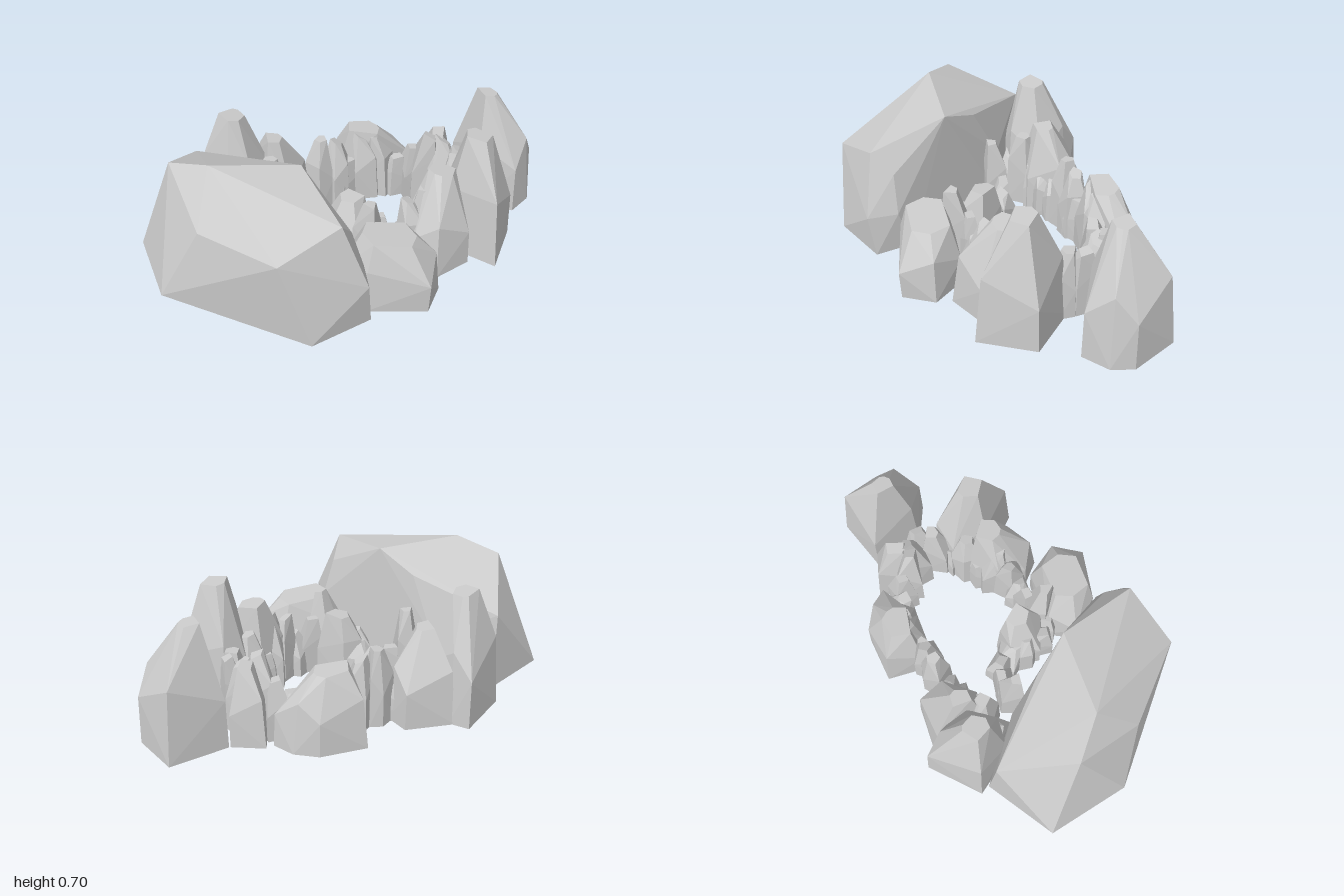
import * as THREE from 'three';
import { ConvexGeometry } from 'three/addons/geometries/ConvexGeometry.js';

const material = new THREE.MeshStandardMaterial({ color: 0xcccccc, flatShading: true });

// small seeded generator for the irregular shards
let seed = 17;
const rand = () => {
  seed = (seed * 16807) % 2147483647;
  return seed / 2147483647;
};

function hull(name, points) {
  const mesh = new THREE.Mesh(new ConvexGeometry(points.map(p => new THREE.Vector3(...p))), material);
  mesh.name = name;
  return mesh;
}

// faceted rock: flat base outline, uneven belt, small crown that can slope down towards +x / +z
function rock(name, base, [cx, cz, crownR], beltY, topY, belt = 0.97, slope = 0.15) {
  const points = [];
  base.forEach(([x, z], i) => {
    const dx = x - cx, dz = z - cz, len = Math.hypot(dx, dz);
    const wobble = i % 2 ? 1 : 0.88;
    const ux = dx / len * crownR, uz = dz / len * crownR;
    points.push([x, 0, z]);
    points.push([cx + dx * belt * wobble, beltY * (i % 2 ? 0.8 : 1.2), cz + dz * belt * wobble]);
    points.push([cx + ux, topY - slope * (crownR + (ux + uz) * 0.7), cz + uz]);
  });
  return hull(name, points);
}

// leaning broken rock from a jittered outline
function shard(name, x, z, r, h) {
  const sides = 4 + Math.floor(rand() * 2), turn = rand() * 6.28, base = [];
  for (let i = 0; i < sides; i++) {
    const a = turn + (i + rand() * 0.4) / sides * Math.PI * 2, q = r * (0.85 + rand() * 0.3);
    base.push([x + Math.cos(a) * q, z + Math.sin(a) * q]);
  }
  const crown = [x + (rand() - 0.5) * r * 0.8, z + (rand() - 0.5) * r * 0.8, r * 0.42];
  return rock(name, base, crown, h * 0.55, h, 0.98, (rand() - 0.2) * 0.9);
}

export function createModel() {
  const model = new THREE.Group();
  model.name = 'rockRing';

  // long boulder closing one side of the ring
  model.add(hull('greatBoulder', [
    [-1, 0.06, -0.39], [-0.77, 0.06, -0.76], [-0.38, 0.06, -0.69], [-0.33, 0.06, -0.3],
    [-0.43, 0.06, 0.34], [-0.54, 0.06, 0.51], [-0.84, 0.06, 0.4],
    [-0.92, 0.48, -0.18], [-0.9, 0.49, 0.27],
    [-0.34, 0.28, -0.35], [-0.46, 0.28, 0.41], [-0.57, 0.28, 0.52],
    [-0.75, 0.64, -0.51], [-0.72, 0.7, -0.28], [-0.41, 0.46, -0.68], [-0.39, 0.57, -0.2],
    [-0.42, 0.66, 0.02], [-0.61, 0.59, 0.4], [-0.5, 0.48, 0.37],
  ]));

  // tall rocks on the front side: outline, crown [x, z, radius], belt height, top height
  model.add(
    rock('sideRock', [[0.59, 0.4], [0.72, 0.16], [1, 0.29], [0.92, 0.54], [0.82, 0.6], [0.67, 0.59]],
      [0.73, 0.34, 0.055], 0.32, 0.64),
    rock('frontRock', [[0.2, 0.75], [0.49, 0.66], [0.48, 0.36], [0.34, 0.33], [0.19, 0.45]],
      [0.33, 0.53, 0.07], 0.3, 0.645),
    rock('frontCornerRock', [[-0.46, 0.42], [-0.28, 0.66], [-0.11, 0.61], [-0.09, 0.42], [-0.28, 0.2], [-0.43, 0.25]],
      [-0.27, 0.42, 0.13], 0.19, 0.37, 1.04),
    rock('frontMiddleRock', [[-0.05, 0.56], [0.15, 0.62], [0.28, 0.5], [0.24, 0.31], [0.04, 0.3], [-0.06, 0.42]],
      [0.18, 0.42, 0.07], 0.23, 0.485),
  );

  // rocks along the back
  model.add(
    rock('backRock', [[-0.36, -0.73], [-0.05, -0.73], [-0.04, -0.62], [-0.1, -0.42], [-0.3, -0.4], [-0.39, -0.5]],
      [-0.25, -0.57, 0.065], 0.32, 0.645),
    rock('backMiddleRock', [[-0.05, -0.65], [0.13, -0.47], [0.08, -0.34], [-0.12, -0.3], [-0.22, -0.4]],
      [-0.1, -0.44, 0.055], 0.24, 0.48),
    rock('backSideRock', [[0.36, -0.4], [0.55, -0.25], [0.6, -0.13], [0.59, -0.01], [0.38, -0.09], [0.21, -0.26]],
      [0.37, -0.2, 0.09], 0.22, 0.4),
  );

  // medium rocks inside the gaps
  model.add(
    shard('sideGapRock', 0.58, 0.12, 0.125, 0.39),
    shard('innerRock', -0.2, 0.1, 0.15, 0.36),
  );

  // broken rocks strung along the inner edge of the ring
  const path = new THREE.CatmullRomCurve3([
    [-0.28, -0.23], [-0.16, -0.08], [-0.25, 0.08], [-0.27, 0.23], [-0.13, 0.27], [0, 0.36],
    [0.2, 0.36], [0.4, 0.35], [0.5, 0.3], [0.49, 0.03], [0.42, -0.1], [0.23, -0.23],
    [0.08, -0.32], [-0.12, -0.38], [-0.29, -0.42],
  ].map(([x, z]) => new THREE.Vector3(x, 0, z)));
  path.getSpacedPoints(30).forEach((p, i) => {
    model.add(shard('fillerRock' + (i + 1), p.x, p.z, 0.08 + rand() * 0.02, 0.22 + rand() * 0.22));
  });

  return model;
}
